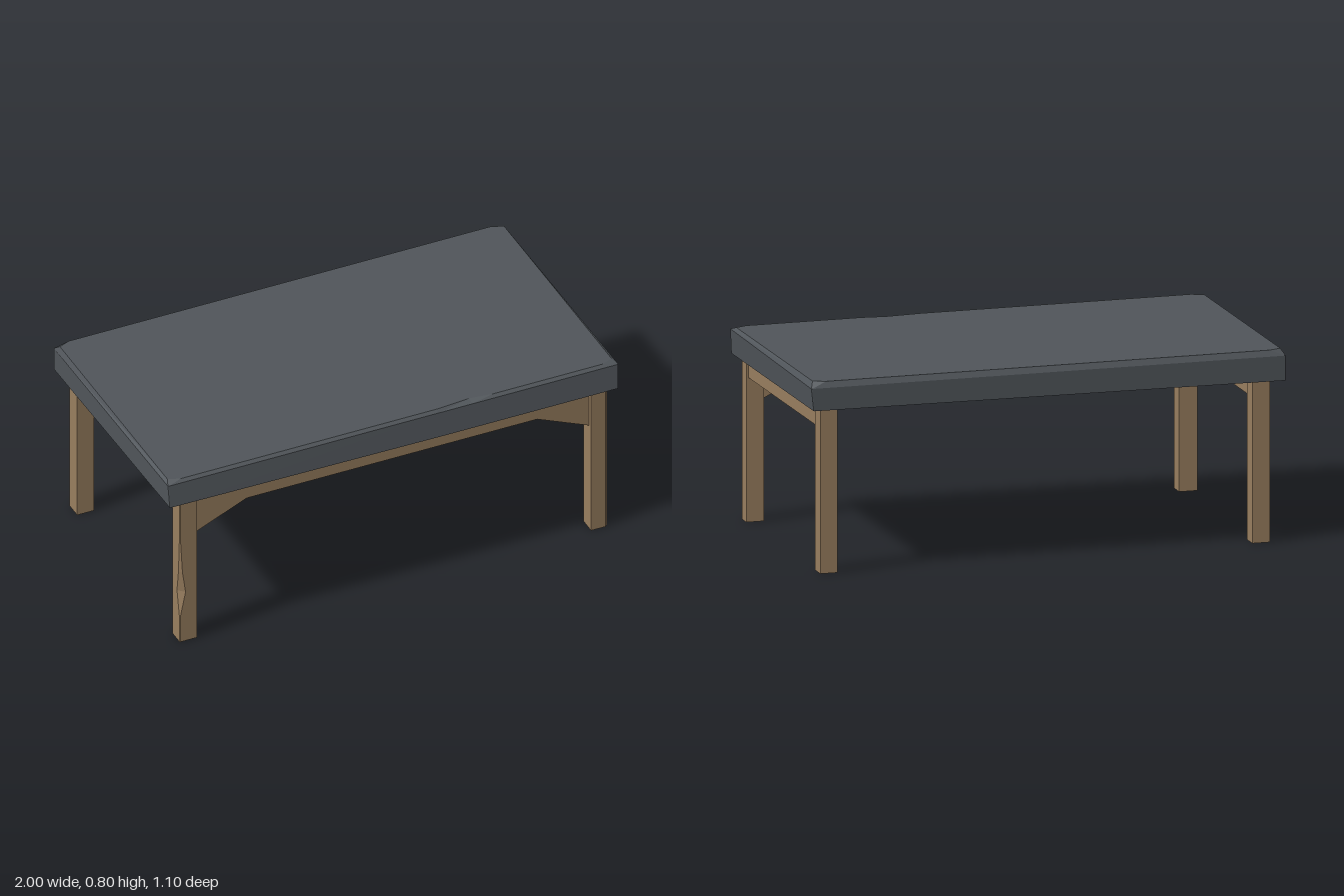
import * as THREE from 'three';

// Closed faceted solid through rings of [x, y, z] points (counter-clockwise from above, bottom ring first)
function loft(rings) {
  const n = rings[0].length, pos = [];
  const tri = (a, b, c) => pos.push(...a, ...b, ...c);
  const centre = r => [0, 1, 2].map(k => r.reduce((s, p) => s + p[k], 0) / n);
  const bottom = rings[0], top = rings[rings.length - 1];
  const cb = centre(bottom), ct = centre(top);
  for (let i = 0; i < n; i++) {
    const j = (i + 1) % n;
    tri(cb, bottom[j], bottom[i]);
    tri(ct, top[i], top[j]);
    for (let k = 0; k + 1 < rings.length; k++) {
      const lo = rings[k], hi = rings[k + 1];
      tri(lo[i], lo[j], hi[j]);
      tri(lo[i], hi[j], hi[i]);
    }
  }
  const g = new THREE.BufferGeometry();
  g.setAttribute('position', new THREE.Float32BufferAttribute(pos, 3));
  g.computeVertexNormals();
  return g;
}

// Square post whose outer front corner is worn by a cut of given size at each height
function wornLeg(x0, x1, z0, z1, side, cuts) {
  return loft(cuts.map(([y, c]) => side > 0
    ? [[x1, y, z1 - c], [x1, y, z0], [x0, y, z0], [x0, y, z1], [x1 - c, y, z1]]
    : [[x1, y, z1], [x1, y, z0], [x0, y, z0], [x0, y, z1 - c], [x0 + c, y, z1]]));
}

// Slab outline with cut corners (c) and a small nick (n) in the front edge
function slabRing(x0, x1, z0, z1, c, n, height) {
  return [
    [x1, z1 - c * 0.4], [x1, z0 + c * 0.4], [x1 - c, z0], [x0 + c, z0],
    [x0, z0 + c * 0.4], [x0, z1 - c * 0.4], [x0 + c, z1],
    [0.2, z1], [0.35, z1 - n], [0.45, z1], [x1 - c, z1],
  ].map(([x, z]) => [x, height(x, z), z]);
}

export function createModel() {
  const group = new THREE.Group();
  const slate = new THREE.MeshStandardMaterial({ color: 0x50555a });
  slate.name = 'slate grey';
  const wood = new THREE.MeshStandardMaterial({ color: 0x987e5f });
  wood.name = 'worn wood';
  slate.flatShading = wood.flatShading = true;

  const add = (name, geometry, material) => {
    const mesh = new THREE.Mesh(geometry, material);
    mesh.name = name;
    group.add(mesh);
    return mesh;
  };
  const block = (name, x0, x1, y0, y1, z0, z1) =>
    add(name, new THREE.BoxGeometry(x1 - x0, y1 - y0, z1 - z0), wood)
      .position.set((x0 + x1) / 2, (y0 + y1) / 2, (z0 + z1) / 2);

  // Table top: slightly uneven underside, leaning front edge, bevelled rim
  add('tableTop', loft([
    slabRing(-1, 0.99, -0.55, 0.55, 0.002, 0, (x, z) => 0.68 + (x < 0 ? 0.01 * Math.sign(z) : 0)),
    slabRing(-1, 1, -0.55, 0.533, 0.004, 0, (x, z) => 0.779 + 0.012 * z),
    slabRing(-0.988, 0.985, -0.537, 0.52, 0.05, 0.012, () => 0.797),
  ]), slate);

  // Front legs with worn outer corners
  add('frontLeftLeg', wornLeg(0.88, 0.955, 0.46, 0.53, 1,
    [[0, 0.01], [0.69, 0.01]]), wood);
  add('frontRightLeg', wornLeg(-0.947, -0.87, 0.46, 0.53, -1,
    [[0, 0.003], [0.13, 0.004], [0.24, 0.026], [0.34, 0.012], [0.49, 0.004], [0.69, 0.003]]), wood);

  // Back legs
  block('backLeftLeg', 0.88, 0.952, 0, 0.69, -0.517, -0.445);
  block('backRightLeg', -0.945, -0.87, 0, 0.69, -0.517, -0.445);

  // Side rails
  block('leftRail', 0.895, 0.945, 0.595, 0.69, -0.45, 0.465);
  block('rightRail', -0.935, -0.88, 0.595, 0.69, -0.45, 0.465);

  // Front apron with sloping brackets at both ends
  const apron = new THREE.Shape([
    [-0.875, 0.69], [-0.875, 0.503], [-0.64, 0.605], [0.65, 0.605], [0.885, 0.503], [0.885, 0.69],
  ].map(([x, y]) => new THREE.Vector2(x, y)));
  add('frontApron', new THREE.ExtrudeGeometry(apron, { depth: 0.04, bevelEnabled: false }), wood)
    .position.z = 0.47;

  return group;
}
